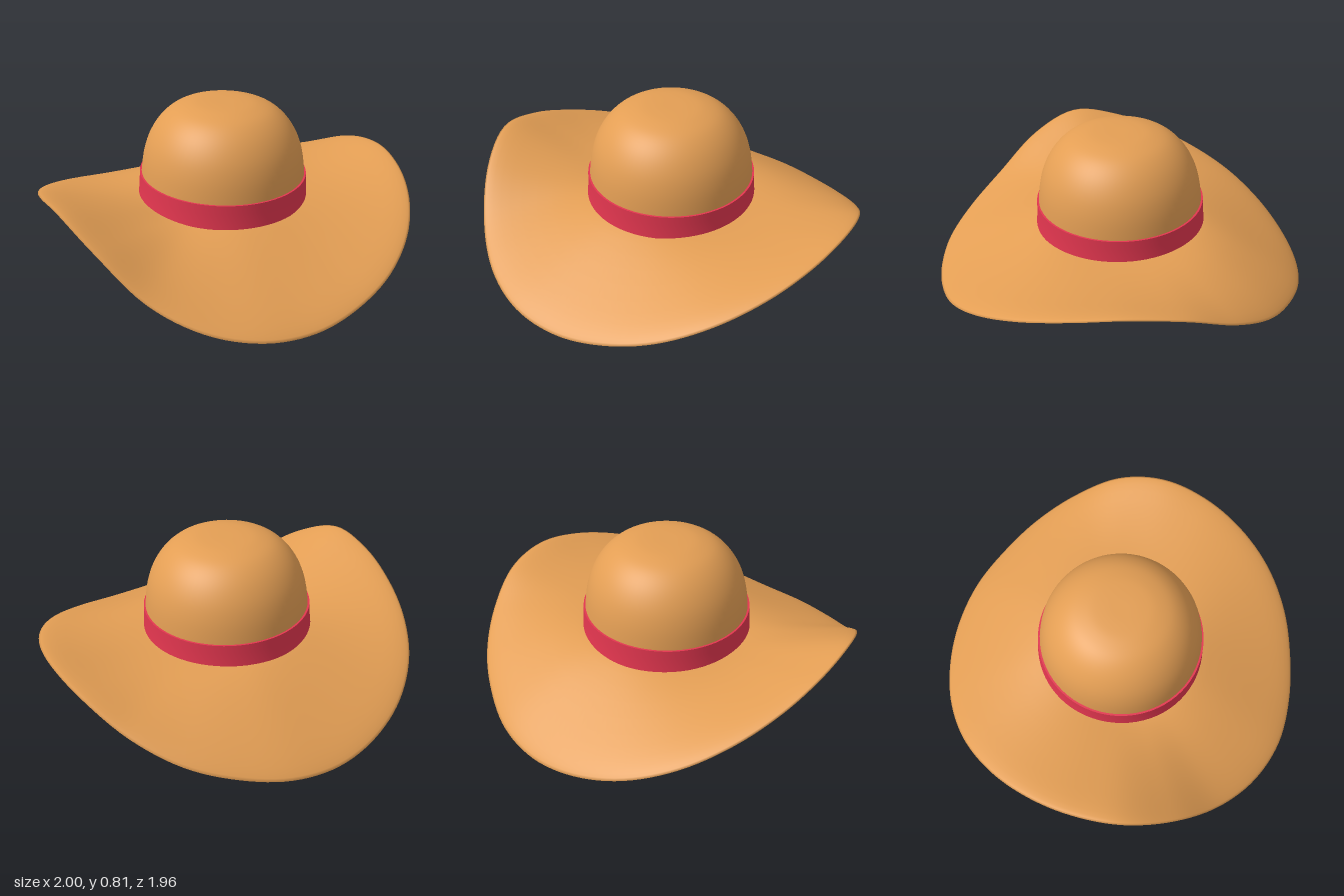
import * as THREE from 'three';

// Rim radius and height every 15 degrees, from the left side (+x) round by the front (+z)
const RIM_RADIUS = [1, .998, .992, .99, .99, .985, .978, .99, 1.01, 1.015, 1.01, 1.005,
  1, .98, .97, .975, .985, .985, .98, .98, .978, .97, .98, .99];
const RIM_HEIGHT = [.35, .39, .355, .285, .2, .11, .04, .006, .024, .085, .2, .38,
  .49, .455, .375, .285, .19, .1, .035, .004, .017, .06, .13, .235];
const BASE = 0.303, FOOT = 0.42;

// Wavy felt disc: a thin closed shell swept round the rim curve
function brimGeometry(segments = 144) {
  const rim = new THREE.CatmullRomCurve3(RIM_RADIUS.map((r, i) => {
    const a = i * Math.PI / 12;
    return new THREE.Vector3(r * Math.cos(a), RIM_HEIGHT[i], r * Math.sin(a));
  }), true, 'catmullrom', 0.5);

  // Stations along one cross-section: top outwards, round the edge, underside inwards
  const steps = [0, .2, .36, .42, .45, .5, .57, .64, .72, .8, .86, .91, .95, .975, .99];
  const half = s => 0.007 * Math.sqrt(1 - s ** 10);
  const section = [
    ...steps.map(s => [s, half(s)]), [1, 0],
    ...steps.slice().reverse().map(s => [s, -half(s)]),
  ];

  const positions = [], index = [], n = section.length;
  for (let j = 0; j < segments; j++) {
    const p = rim.getPoint(j / segments);
    const power = 1.2 + 0.7 * Math.max(0, p.x) ** 2;
    const next = (j + 1) % segments;
    section.forEach(([s, offset], k) => {
      const rise = Math.max(0, (s - FOOT) / (1 - FOOT)) ** power;
      const base = BASE - 0.025 * p.z * s;                // the foot sits lower in front
      const curl = 0.02 * s ** 6 * (1 - s ** 16);         // the edge rolls over
      positions.push(p.x * s, base + (p.y - base) * rise + curl + offset, p.z * s);
      if (k === n - 1) return;
      const a = j * n + k, b = next * n + k;
      if (k > 0) index.push(a, b, a + 1);
      if (k < n - 2) index.push(b, b + 1, a + 1);
    });
  }
  const geometry = new THREE.BufferGeometry();
  geometry.setAttribute('position', new THREE.Float32BufferAttribute(positions, 3));
  geometry.setIndex(index);
  geometry.computeVertexNormals();
  return geometry;
}

export function createModel() {
  const felt = new THREE.MeshStandardMaterial({ color: 0xe39e54 });
  felt.name = 'tan felt';
  const ribbon = new THREE.MeshStandardMaterial({ color: 0xe3364f, side: THREE.DoubleSide });
  ribbon.name = 'red ribbon';

  const hat = new THREE.Group();
  hat.name = 'hat';
  const add = (parent, name, geometry, material) => {
    const mesh = new THREE.Mesh(geometry, material);
    mesh.name = name;
    parent.add(mesh);
  };
  const v = (x, y) => new THREE.Vector2(x, y);

  add(hat, 'brim', brimGeometry(), felt);

  // Crown and ribbon share one slight tip forward
  const top = new THREE.Group();
  top.name = 'crownAndBand';
  top.position.set(-0.005, 0.36, 0);
  top.rotation.set(0.019, 0, -0.008);
  hat.add(top);
  const addRound = (name, profile, material) => add(top, name,
    new THREE.LatheGeometry(profile, 72).translate(0, -top.position.y, 0), material);

  // Rounded crown with a slightly flattened top
  const crownProfile = new THREE.SplineCurve([
    v(.435, .31), v(.431, .42), v(.415, .535), v(.383, .63), v(.33, .711),
    v(.26, .769), v(.175, .799), v(.09, .808), v(0, .809),
  ]).getPoints(40);
  crownProfile[crownProfile.length - 1].x = 0;
  addRound('crown', crownProfile, felt);

  // Ribbon round the foot of the crown, flared below, and its narrow upper edge
  addRound('band', [v(.449, .301), v(.445, .335), v(.442, .38), v(.44, .427)], ribbon);
  addRound('bandEdge', [v(.44, .427), v(.425, .427)], ribbon);

  return hat;
}
